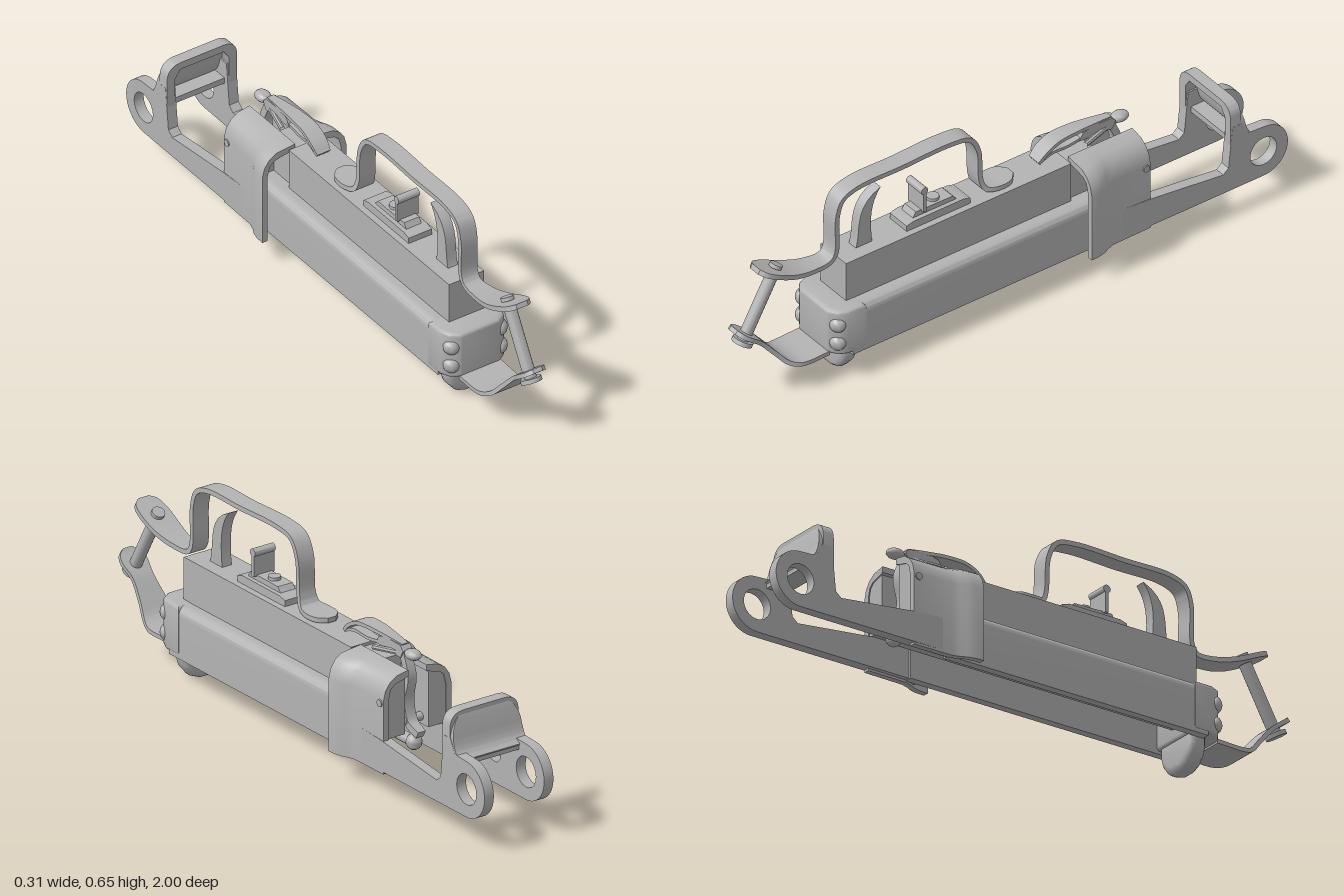
import * as THREE from 'three';
import { toCreasedNormals } from 'three/addons/utils/BufferGeometryUtils.js';

const V3 = (x, y, z) => new THREE.Vector3(x, y, z);

export function createModel() {
  const model = new THREE.Group();
  model.name = 'triggerAssembly';
  const steel = new THREE.MeshStandardMaterial({ color: 0xb3b3b3 });
  steel.name = 'steel grey';

  const add = (name, geometry, crease = 0.6) => {
    const mesh = new THREE.Mesh(toCreasedNormals(geometry, crease), steel);
    mesh.name = name;
    model.add(mesh);
    return mesh;
  };
  const shapeOf = pts => new THREE.Shape(pts.map(p => new THREE.Vector2(p[0], p[1])));
  const extrude = (shape, depth, bevel = 0) => new THREE.ExtrudeGeometry(shape, {
    depth: depth - 2 * bevel, curveSegments: 10, bevelEnabled: bevel > 0,
    bevelSize: bevel, bevelThickness: bevel, bevelOffset: -bevel, bevelSegments: 3,
  }).translate(0, 0, bevel);
  // Profile in (z, y), extruded across x
  const side = (shape, width, x = 0, bevel = 0) =>
    extrude(shape, width, bevel).translate(0, 0, -width / 2).rotateY(-Math.PI / 2).translate(x, 0, 0);
  // Profile in (x, y), extruded from z0 to z1
  const along = (shape, z0, z1, bevel = 0) => extrude(shape, z1 - z0, bevel).translate(0, 0, z0);
  const box = (x0, x1, y0, y1, z0, z1) => new THREE.BoxGeometry(x1 - x0, y1 - y0, z1 - z0)
    .translate((x0 + x1) / 2, (y0 + y1) / 2, (z0 + z1) / 2);
  const rod = (a, b, r, segments = 16) => new THREE.TubeGeometry(new THREE.LineCurve3(a, b), 1, r, segments);
  const disc = (r, h) => new THREE.CylinderGeometry(r, r, h, 20);

  // Closed solid through equal-length cross-section loops; facing set from its volume
  function loft(rings) {
    const n = rings[0].length, last = (rings.length - 1) * n, idx = [];
    const quad = (a, b, c, d) => idx.push(a, b, c, a, c, d);
    for (let r = 0; r < rings.length - 1; r++)
      for (let i = 0; i < n; i++) {
        const j = (i + 1) % n;
        quad(r * n + i, r * n + j, (r + 1) * n + j, (r + 1) * n + i);
      }
    for (let i = 0; i < n / 2 - 1; i++) {
      quad(n - 1 - i, n - 2 - i, i + 1, i);
      quad(last + i, last + i + 1, last + n - 2 - i, last + n - 1 - i);
    }
    const pts = rings.flat(), cross = V3(0, 0, 0);
    let volume = 0;
    for (let i = 0; i < idx.length; i += 3)
      volume += pts[idx[i]].dot(cross.crossVectors(pts[idx[i + 1]], pts[idx[i + 2]]));
    if (volume < 0) idx.reverse();
    const g = new THREE.BufferGeometry().setFromPoints(pts);
    g.setIndex(idx);
    return g;
  }
  // Bent strip along [z, y, half width] points
  function ribbon(points, thickness, steps = 60) {
    const curve = new THREE.CatmullRomCurve3(points.map(([z, y, w]) => V3(w, y, z)));
    const rings = [];
    for (let i = 0; i <= steps; i++) {
      const p = curve.getPoint(i / steps), t = curve.getTangent(i / steps);
      const k = thickness / 2 / Math.hypot(t.y, t.z), ny = t.z * k, nz = -t.y * k;
      rings.push([V3(-p.x, p.y + ny, p.z + nz), V3(p.x, p.y + ny, p.z + nz),
        V3(p.x, p.y - ny, p.z - nz), V3(-p.x, p.y - ny, p.z - nz)]);
    }
    return loft(rings);
  }

  // Main housing: open-bottomed channel with rounded shoulders
  const channel = new THREE.Shape();
  channel.moveTo(-0.112, 0.095);
  channel.lineTo(-0.112, 0.235);
  channel.quadraticCurveTo(-0.112, 0.265, -0.08, 0.265);
  channel.lineTo(0.08, 0.265);
  channel.quadraticCurveTo(0.112, 0.265, 0.112, 0.235);
  for (const p of [[0.112, 0.095], [0.085, 0.095], [0.085, 0.235], [-0.085, 0.235], [-0.085, 0.095]]) channel.lineTo(...p);
  add('housingChannel', along(channel, -0.34, 0.63));
  add('upperHousing', box(-0.064, 0.064, 0.25, 0.405, -0.23, 0.62));
  add('upperHousingTail', box(-0.05, 0.05, 0.25, 0.395, -0.34, -0.23));

  // Front cap with rounded corners
  const cap = shapeOf([[-0.114, -0.58], [0.114, -0.58], [0.114, -0.645], [0.1, -0.675], [0.07, -0.695],
    [-0.07, -0.695], [-0.1, -0.675], [-0.114, -0.645]]);
  add('frontCap', extrude(cap, 0.162, 0.012).rotateX(-Math.PI / 2).translate(0, 0.104, 0));
  for (const s of [-1, 1])
    for (const y of [0.148, 0.215])
      add('rivet', new THREE.SphereGeometry(0.026, 14, 10).scale(1, 1, 0.75)
        .rotateY(s * 0.8).translate(s * 0.092, y, 0.672), 1);

  // Catch hanging under the front
  const catchShape = shapeOf([[-0.084, 0.12], [-0.084, 0.075], [-0.075, 0.045], [-0.05, 0.015], [-0.02, 0.003],
    [0.02, 0.003], [0.05, 0.015], [0.075, 0.045], [0.084, 0.075], [0.084, 0.12]]);
  add('lowerCatch', along(catchShape, 0.585, 0.648, 0.022));

  // Lower link plate, upper guard strip and the pin between them
  add('lowerLink', ribbon([[0.998, 0.285, 0.016], [0.985, 0.273, 0.036], [0.96, 0.255, 0.045], [0.92, 0.222, 0.038],
    [0.87, 0.165, 0.046], [0.83, 0.122, 0.06], [0.79, 0.107, 0.073], [0.69, 0.107, 0.076]], 0.014));
  add('triggerGuard', ribbon([[0.915, 0.478, 0.02], [0.9, 0.47, 0.04], [0.86, 0.451, 0.05], [0.79, 0.42, 0.047],
    [0.72, 0.402, 0.037], [0.65, 0.403, 0.03], [0.63, 0.43, 0.03], [0.626, 0.56, 0.03], [0.605, 0.615, 0.03],
    [0.55, 0.638, 0.03], [0.38, 0.641, 0.03], [0.2, 0.645, 0.03], [0.125, 0.63, 0.03], [0.093, 0.575, 0.03],
    [0.084, 0.46, 0.03], [0.068, 0.424, 0.036], [0.03, 0.416, 0.046], [-0.02, 0.416, 0.042], [-0.048, 0.416, 0.015]], 0.016, 110));
  add('linkPin', rod(V3(0, 0.435, 0.848), V3(0, 0.23, 0.962), 0.02));
  const pinTilt = Math.atan2(-0.114, 0.205);
  add('pinTopHead', disc(0.021, 0.012).rotateX(pinTilt).translate(0, 0.457, 0.837));
  add('pinBottomHead', disc(0.034, 0.014).rotateX(pinTilt).translate(0, 0.228, 0.963));

  // Trigger
  const trigger = new THREE.Shape();
  trigger.moveTo(0.555, 0.39);
  trigger.bezierCurveTo(0.52, 0.45, 0.57, 0.55, 0.455, 0.595);
  trigger.bezierCurveTo(0.49, 0.55, 0.5, 0.5, 0.485, 0.39);
  add('trigger', side(trigger, 0.036));

  // Safety catch on a stepped base
  add('safetyBase', side(shapeOf([[0.135, 0.4], [0.135, 0.425], [0.16, 0.432], [0.35, 0.432], [0.375, 0.425], [0.375, 0.4]]), 0.085));
  add('safetySlide', side(shapeOf([[0.17, 0.425], [0.19, 0.448], [0.33, 0.45], [0.345, 0.425]]), 0.056));
  add('safetyButton', disc(0.02, 0.012).translate(0, 0.453, 0.245));
  add('safetyTab', box(-0.039, 0.039, 0.445, 0.525, 0.297, 0.309));
  add('safetyCurl', disc(0.013, 0.078).rotateZ(Math.PI / 2).translate(0, 0.523, 0.304));

  // Rear hood: two flared half shells with a slot between
  for (const s of [-1, 1]) {
    const section = ([z, w]) => {
      const arch = o => [[w - o, 0.09], [w - o, 0.33], [w - o - 0.008, 0.362], [w - o - 0.025, 0.386 - o / 2],
        [w - o - 0.05, 0.402 - o], [0.034, 0.41 - o]];
      return [...arch(0), ...arch(0.02).reverse()].map(([x, y]) => V3(s * x, y, z));
    };
    add('hoodShell', loft([[-0.24, 0.155], [-0.27, 0.154], [-0.295, 0.148], [-0.315, 0.138], [-0.34, 0.13], [-0.482, 0.128]].map(section)));
    add('hoodBlock', along(shapeOf([[0.044, 0.2], [0.118, 0.2], [0.118, 0.35], [0.09, 0.388], [0.044, 0.396]]
      .map(([x, y]) => [s * x, y])), -0.478, -0.33));
    add('hoodPin', disc(0.012, 0.02).rotateZ(Math.PI / 2).translate(s * 0.122, 0.32, -0.465));

    // Rear arm ending in a pierced eye
    const arm = new THREE.Shape();
    arm.moveTo(-0.3, 0.098);
    arm.lineTo(-0.3, 0.21);
    arm.lineTo(-0.47, 0.2);
    arm.lineTo(-0.755, 0.168);
    arm.lineTo(-0.775, 0.185);
    arm.lineTo(-0.79, 0.33);
    arm.lineTo(-0.825, 0.33);
    arm.lineTo(-0.848, 0.285);
    arm.lineTo(-0.905, 0.282);
    arm.absarc(-0.907, 0.19, 0.092, Math.PI / 2, Math.PI * 1.5, false);
    arm.holes.push(new THREE.Path().absarc(-0.907, 0.19, 0.05, 0, Math.PI * 2, true));
    add('rearArm', side(arm, 0.035, s * 0.112));
  }

  // Upright rear bridge: arched frame with a sloping back plate
  const arch = new THREE.Shape();
  arch.moveTo(-0.129, 0.17);
  arch.lineTo(-0.129, 0.36);
  arch.quadraticCurveTo(-0.127, 0.41, -0.075, 0.41);
  arch.lineTo(0.075, 0.41);
  arch.quadraticCurveTo(0.127, 0.41, 0.129, 0.36);
  for (const p of [[0.129, 0.17], [0.1, 0.17], [0.1, 0.355], [0.08, 0.385], [-0.08, 0.385], [-0.1, 0.355], [-0.1, 0.17]]) arch.lineTo(...p);
  add('bridgeFrame', along(arch, -0.822, -0.783));
  add('bridgePlate', ribbon([[-0.812, 0.403, 0.075], [-0.818, 0.385, 0.105], [-0.827, 0.35, 0.124],
    [-0.838, 0.305, 0.129], [-0.852, 0.28, 0.129], [-0.872, 0.266, 0.129]], 0.014, 24));
  add('bridgeLedge', box(-0.12, 0.12, 0.252, 0.272, -0.872, -0.8));

  // Locking lever on top of the hood, with its spring strips and hook
  add('leverStrip', ribbon([[-0.14, 0.42, 0.024], [-0.165, 0.445, 0.028], [-0.21, 0.468, 0.028], [-0.28, 0.473, 0.025],
    [-0.36, 0.468, 0.018], [-0.42, 0.462, 0.012]], 0.012, 30));
  add('leverSpring', ribbon([[-0.14, 0.421, 0.024], [-0.19, 0.436, 0.022], [-0.25, 0.43, 0.016], [-0.32, 0.44, 0.016]], 0.01, 20));
  add('leverHead', side(shapeOf([[-0.295, 0.432], [-0.31, 0.458], [-0.35, 0.468], [-0.42, 0.465], [-0.433, 0.45], [-0.42, 0.425]]), 0.036));
  for (const s of [-1, 1])
    add('leverFork', rod(V3(s * 0.012, 0.435, -0.4), V3(s * 0.034, 0.425, -0.305), 0.009, 8));
  add('leverTip', new THREE.SphereGeometry(0.024, 14, 10).scale(1, 0.7, 1.3).translate(0, 0.445, -0.46), 1);
  add('leverHook', ribbon([[-0.42, 0.44, 0.014], [-0.445, 0.37, 0.016], [-0.43, 0.29, 0.018], [-0.45, 0.22, 0.018],
    [-0.5, 0.195, 0.014]], 0.024, 24));

  // Inner rod and cross pin, seen from below
  add('innerRod', rod(V3(0, 0.16, 0.6), V3(0, 0.16, -0.46), 0.018, 12));
  add('innerRodEnd', new THREE.SphereGeometry(0.026, 12, 8).translate(0, 0.16, -0.465), 1);
  add('crossPin', rod(V3(-0.12, 0.225, -0.44), V3(0.12, 0.225, -0.44), 0.014, 12));

  return model;
}
